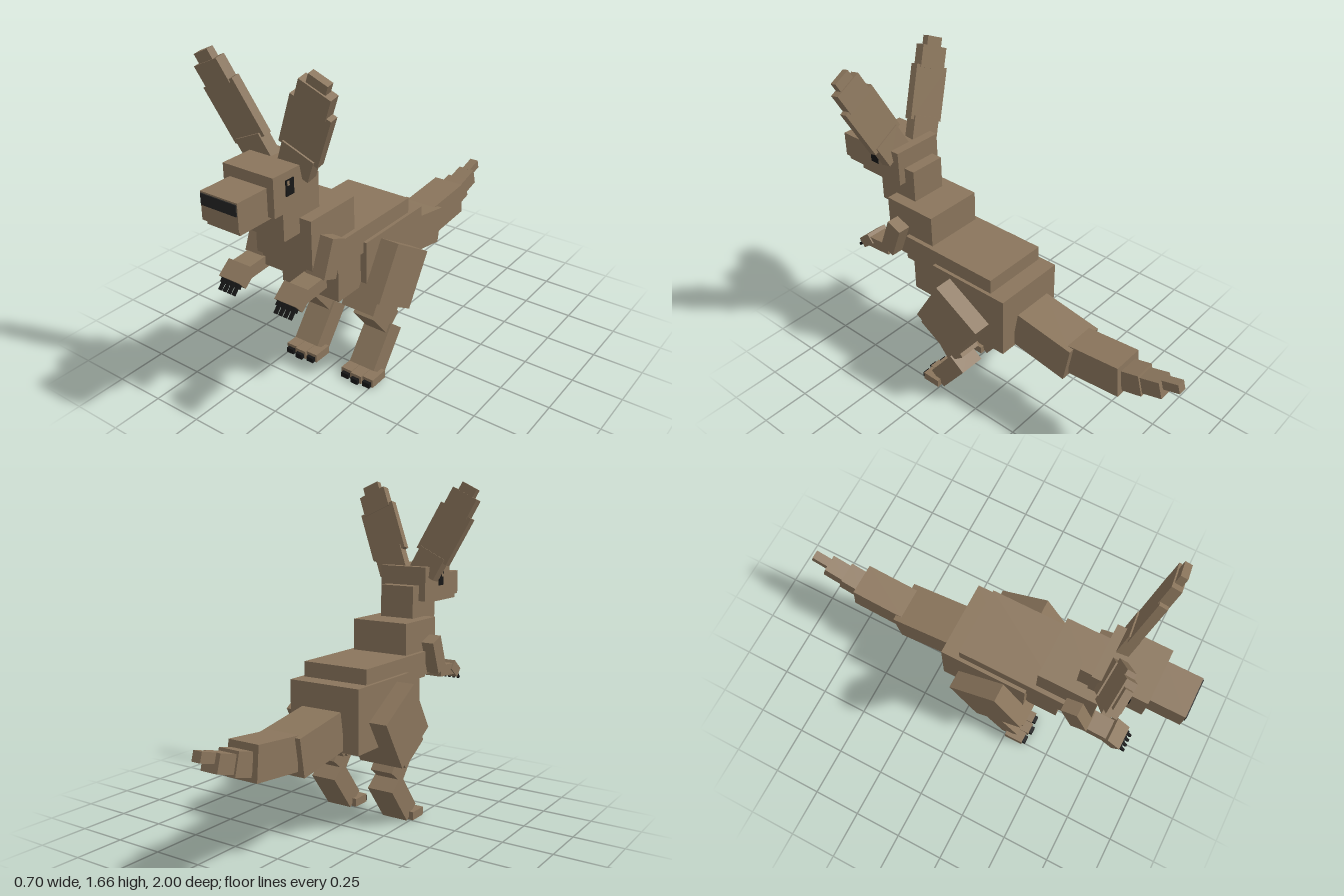
import * as THREE from 'three';

const mat = (name, color) => {
  const m = new THREE.MeshStandardMaterial({ color });
  m.name = name;
  return m;
};

export function createModel() {
  const fur = mat('brown fur', 0x8a755c);
  const nose = mat('charcoal', 0x242424);
  const claw = mat('black claw', 0x161616);
  const root = new THREE.Group();
  root.name = 'longEaredHopper';

  // Box given by size, centre and pitch about x
  function box(parent, name, m, size, pos, pitch = 0) {
    const mesh = new THREE.Mesh(new THREE.BoxGeometry(...size), m);
    mesh.name = name;
    mesh.position.set(...pos);
    mesh.rotation.x = pitch;
    parent.add(mesh);
    return mesh;
  }
  // Upright box given by full width and its y and z ranges
  const block = (name, m, w, y0, y1, z0, z1) =>
    box(root, name, m, [w, y1 - y0, z1 - z0], [0, (y0 + y1) / 2, (z0 + z1) / 2]);

  // Body and head
  block('hips', fur, 0.39, 0.43, 0.745, -0.14, 0.31);
  block('back', fur, 0.355, 0.69, 0.82, -0.05, 0.505);
  block('belly', fur, 0.325, 0.51, 0.7, 0.2, 0.475);
  block('chest', fur, 0.31, 0.69, 0.98, 0.345, 0.64);
  block('neck', fur, 0.19, 0.91, 1.145, 0.51, 0.74);
  block('head', fur, 0.264, 1.065, 1.24, 0.57, 0.83);
  block('muzzle', fur, 0.194, 1.065, 1.19, 0.82, 0.995);
  block('jaw', fur, 0.175, 1.043, 1.075, 0.75, 0.98);
  block('nose', nose, 0.186, 1.133, 1.183, 0.992, 1.0);

  // Tail segments: width, height, length, y, z, pitch
  [
    [0.22, 0.19, 0.315, 0.51, -0.3, -0.17],
    [0.165, 0.165, 0.28, 0.512, -0.584, 0.085],
    [0.11, 0.11, 0.105, 0.53, -0.77, 0.26],
    [0.09, 0.085, 0.11, 0.555, -0.866, 0.28],
    [0.046, 0.047, 0.09, 0.6, -0.953, 0.28],
  ].forEach(([w, h, d, y, z, p], i) => box(root, 'tail' + (i + 1), fur, [w, h, d], [0, y, z], p));

  for (const s of [1, -1]) {
    const side = s > 0 ? 'left' : 'right';
    const group = (name) => {
      const g = new THREE.Group();
      g.name = side + name;
      root.add(g);
      return g;
    };

    // Eye plate with a small glint
    const eye = group('Eye');
    box(eye, 'eye', claw, [0.008, 0.07, 0.048], [s * 0.132, 1.17, 0.736]);
    box(eye, 'glint', fur, [0.004, 0.02, 0.013], [s * 0.1355, 1.19, 0.746]);

    // Hind leg
    const leg = group('HindLeg');
    box(leg, 'thigh', fur, [0.24, 0.286, 0.29], [s * 0.17, 0.523, 0.147], -0.547);
    box(leg, 'knee', fur, [0.18, 0.16, 0.2], [s * 0.17, 0.421, 0.223], -0.547);
    box(leg, 'shin', fur, [0.12, 0.122, 0.17], [s * 0.17, 0.316, 0.2], -0.896);
    box(leg, 'ankle', fur, [0.14, 0.107, 0.235], [s * 0.17, 0.134, 0.204], 0.914);
    for (const i of [-1, 0, 1]) {
      const x = s * 0.17 + i * 0.062;
      const front = i === 0 ? 0.01 : 0;
      box(leg, 'toe', fur, [0.06, 0.042, 0.1], [x, 0.029, 0.305 + front]);
      box(leg, 'toeClaw', claw, [0.04, 0.026, 0.06], [x, 0.022, 0.342 + front]);
    }

    // Front leg
    const arm = group('FrontLeg');
    box(arm, 'upperArm', fur, [0.1, 0.085, 0.18], [s * 0.172, 0.796, 0.574], 1.2);
    box(arm, 'forearm', fur, [0.1, 0.06, 0.15], [s * 0.16, 0.697, 0.69], 0.07);
    box(arm, 'paw', fur, [0.12, 0.055, 0.085], [s * 0.157, 0.69, 0.77], 0.686);
    for (let i = 0; i < 4; i++) {
      const x = s * 0.157 + (i - 1.5) * 0.026;
      box(arm, 'fingerClaw', claw, [0.021, 0.028, 0.045], [x, 0.669, 0.803], 0.84);
      box(arm, 'clawTip', claw, [0.013, 0.014, 0.045], [x, 0.645, 0.826], 0.84);
    }

    // Ear: stacked plates, splayed outward and leaning forward
    const ear = group('Ear');
    ear.position.set(s * 0.085, 1.2, 0.635);
    ear.rotation.set(0.205, 0, -s * 0.435);
    [
      [0.16, 0, 0.12, 0.055],
      [0.2, 0.1, 0.365, 0.04],
      [0.155, 0.35, 0.46, 0.048],
      [0.093, 0.44, 0.505, 0.034],
    ].forEach(([w, u0, u1, d], i) =>
      box(ear, 'earPlate' + (i + 1), fur, [w, u1 - u0, d], [0, (u0 + u1) / 2, 0]));
  }
  return root;
}
